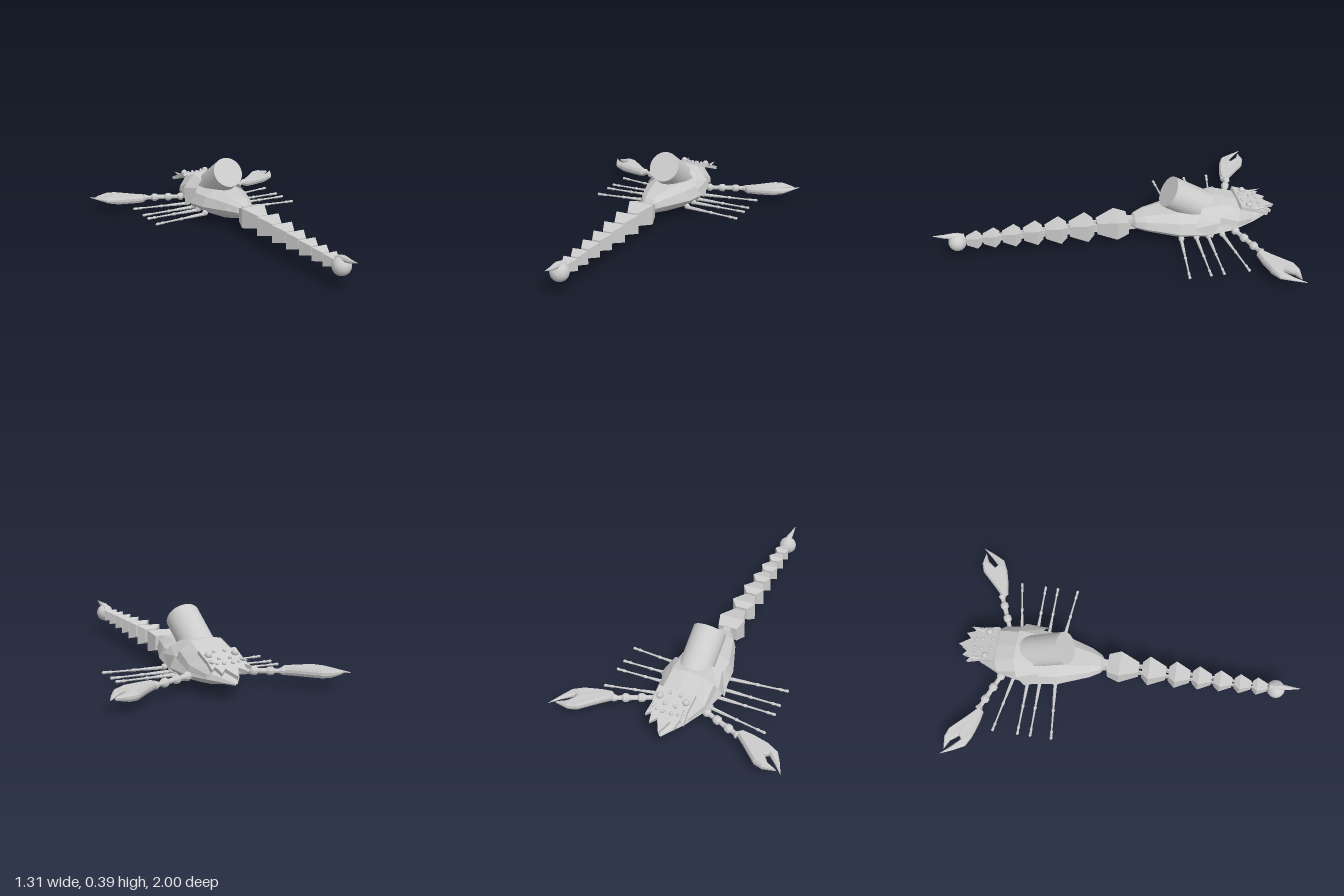
import * as THREE from 'three';

const flat = new THREE.MeshStandardMaterial({ color: 0xcccccc, flatShading: true });
const thin = new THREE.MeshStandardMaterial({ color: 0xcccccc, flatShading: true, side: THREE.DoubleSide });
const smooth = new THREE.MeshStandardMaterial({ color: 0xcccccc });

function add(parent, name, geo, mat = flat) {
  const mesh = new THREE.Mesh(geo, mat);
  mesh.name = name;
  parent.add(mesh);
  return mesh;
}

// Skin between rows of [x, y, z] points
function skin(rows) {
  const out = [];
  for (let i = 0; i < rows.length - 1; i++)
    for (let j = 0; j < rows[i].length - 1; j++) {
      const a = rows[i][j], b = rows[i][j + 1], c = rows[i + 1][j + 1], d = rows[i + 1][j];
      out.push(...a, ...b, ...c, ...a, ...c, ...d);
    }
  const geo = new THREE.BufferGeometry();
  geo.setAttribute('position', new THREE.Float32BufferAttribute(out, 3));
  geo.computeVertexNormals();
  return geo;
}

// Half an edge, given from the rim to the crown, mirrored into a full arch
const arch = half => [...half, ...half.slice(0, -1).reverse().map(([x, y, z]) => [-x, y, z])];

// Turned piece between two points; profile holds [radius, fraction along]
function turned(parent, name, profile, from, to, sides) {
  const a = new THREE.Vector3(...from), dir = new THREE.Vector3(...to).sub(a), len = dir.length();
  const geo = new THREE.LatheGeometry(profile.map(([r, t]) => new THREE.Vector2(r, t * len)), sides);
  const mesh = add(parent, name, geo);
  mesh.position.copy(a);
  mesh.quaternion.setFromUnitVectors(new THREE.Vector3(0, 1, 0), dir.normalize());
}

function ball(parent, name, r, x, y, z, detail = 12) {
  add(parent, name, new THREE.SphereGeometry(r, detail, detail * 0.75), smooth).position.set(x, y, z);
}

function makeBody(g) {
  // z, half width, keel height, side height, deck height
  const sections = [
    [-0.99, 0.004, 0.088, 0.093, 0.098], [-0.86, 0.085, 0.065, 0.095, 0.14], [-0.72, 0.14, 0.03, 0.09, 0.18],
    [-0.56, 0.172, 0.005, 0.1, 0.2], [-0.4, 0.155, 0.018, 0.11, 0.205], [-0.22, 0.09, 0.065, 0.125, 0.19],
    [-0.16, 0.055, 0.09, 0.125, 0.175], [-0.12, 0.003, 0.12, 0.123, 0.126]];
  add(g, 'body', skin(sections.map(([z, w, bot, mid, top]) => {
    const low = bot + (mid - bot) * 0.55, high = mid + (top - mid) * 0.65;
    return [[0, bot], [w * 0.75, low], [w, mid], [w * 0.85, high], [w * 0.45, top],
      [-w * 0.45, top], [-w * 0.85, high], [-w, mid], [-w * 0.75, low], [0, bot]].map(([x, y]) => [x, y, z]);
  })));
}

function makeShell(g) {
  // Arched band around the body
  add(g, 'shellBand', skin([
    arch([[0.168, 0.155, -0.48], [0.14, 0.2, -0.51], [0.09, 0.235, -0.54], [0, 0.25, -0.55]]),
    arch([[0.182, 0.085, -0.585], [0.168, 0.175, -0.63], [0.09, 0.25, -0.65], [0, 0.26, -0.65]])]), thin);
  // Sloping neck plate
  add(g, 'neckPlate', skin([
    arch([[0.15, 0.155, -0.61], [0.142, 0.2, -0.625], [0.085, 0.25, -0.64], [0, 0.258, -0.64]]),
    arch([[0.148, 0.12, -0.74], [0.142, 0.15, -0.75], [0.09, 0.205, -0.77], [0, 0.212, -0.775]]),
    arch([[0.095, 0.1, -0.84], [0.09, 0.12, -0.85], [0.06, 0.15, -0.87], [0, 0.16, -0.88]])]), thin);

  // Spiked head shield, tilted down toward its tip
  const head = new THREE.Group();
  head.name = 'headShield';
  const edge = [[0.105, 0], [0.1, 0.1], [0.108, 0.175], [0.08, 0.15], [0.068, 0.21], [0.035, 0.175], [0, 0.25]];
  const outline = [...edge, ...edge.slice(0, -1).reverse().map(([x, y]) => [-x, y])];
  const shape = new THREE.Shape(outline.map(p => new THREE.Vector2(...p)));
  add(head, 'spikedPlate', new THREE.ExtrudeGeometry(shape, { depth: 0.02, bevelEnabled: false })).rotation.x = -Math.PI / 2;
  for (const s of [-1, 1]) {
    ball(head, 'eye', 0.019, s * 0.074, 0.025, -0.055);
    for (const [x, z, r] of [[0.03, -0.025, 0.01], [0.03, -0.09, 0.011], [0.025, -0.135, 0.011], [0.06, -0.13, 0.009]])
      ball(head, 'headBump', r, s * x, 0.023, z, 8);
    // Short raised horns along the rim
    turned(head, 'horn', [[0.012, 0], [0, 1]], [s * 0.085, 0.015, -0.1], [s * 0.092, 0.05, -0.17], 5);
  }
  head.position.set(0, 0.208, -0.765);
  head.rotation.x = -0.36;
  g.add(head);
}

function makeBarrel(g) {
  const mesh = add(g, 'barrel', new THREE.CylinderGeometry(0.092, 0.092, 0.3, 40), smooth);
  const axis = new THREE.Vector3(0, 0.53, 0.85).normalize();
  mesh.quaternion.setFromUnitVectors(new THREE.Vector3(0, 1, 0), axis);
  mesh.position.set(0, 0.316, -0.36).addScaledVector(axis, -0.15);
}

function makeClaw(g) {
  // Pincer outline as x and forward distance
  const outline = [[0.345, 0.815], [0.375, 0.79], [0.44, 0.8], [0.53, 0.825], [0.59, 0.855], [0.625, 0.92], [0.656, 0.992],
    [0.605, 0.935], [0.555, 0.885], [0.535, 0.9], [0.57, 0.945], [0.625, 0.972], [0.55, 0.982], [0.5, 0.965], [0.455, 0.92], [0.4, 0.865]];
  const shape = new THREE.Shape(outline.map(p => new THREE.Vector2(...p)));
  const geo = new THREE.ExtrudeGeometry(shape, {
    depth: 0.015, bevelThickness: 0.015, bevelSize: 0.008, bevelOffset: -0.008, bevelSegments: 1 });
  geo.translate(0, 0, -0.0075);
  geo.rotateX(-Math.PI / 2);
  // Thin the fingers toward their tips
  const p = geo.attributes.position;
  for (let i = 0; i < p.count; i++)
    p.setY(i, p.getY(i) * THREE.MathUtils.clamp(1 - (p.getX(i) - 0.54) / 0.13, 0.15, 1));
  geo.computeVertexNormals();
  add(g, 'claw', geo).position.y = 0.088;
}

function makeLimbs(side) {
  // Beaded arm ending in the claw
  const bead = [[0.012, 0], [0.024, 0.04], [0.024, 0.1], [0.013, 0.16], [0.013, 0.28], [0.024, 0.34], [0.024, 0.42], [0.013, 0.47],
    [0.015, 0.62], [0.024, 0.68], [0.024, 0.75], [0.013, 0.8], [0.013, 0.88], [0.022, 0.96], [0.016, 1]];
  turned(side, 'arm', bead, [0.13, 0.09, -0.725], [0.365, 0.088, -0.825], 10);
  makeClaw(side);

  // Four thin jointed legs with ball sockets
  const leg = [[0.011, 0], [0.009, 0.3], [0.006, 0.46], [0.01, 0.5], [0.006, 0.54], [0.005, 0.82], [0.009, 0.87], [0.006, 0.9], [0.009, 0.98], [0, 1]];
  for (const [z0, z1] of [[-0.66, -0.725], [-0.575, -0.578], [-0.505, -0.503], [-0.415, -0.38]]) {
    turned(side, 'leg', leg, [0.12, 0.06, z0], [0.475, 0.057, z1], 6);
    ball(side, 'legSocket', 0.018, 0.132, 0.065, z0, 10);
  }
}

function makeTail(g) {
  // start z, widest z, end z, half width, half height
  const segments = [[-0.12, -0.05, 0.06, 0.075, 0.06], [0.08, 0.12, 0.22, 0.07, 0.056], [0.235, 0.275, 0.36, 0.064, 0.052],
    [0.375, 0.41, 0.485, 0.056, 0.047], [0.5, 0.535, 0.605, 0.051, 0.042], [0.62, 0.65, 0.715, 0.046, 0.038], [0.725, 0.75, 0.81, 0.042, 0.034]];
  const cy = 0.125;
  segments.forEach(([z0, zw, z1, w, h], i) => {
    const ring = (z, a, b) => [[-1, -1], [1, -1], [1, 1], [-1, 1], [-1, -1]].map(([x, y]) => [x * a, cy + y * b, z]);
    const back = i ? 0.5 : 0.75;
    add(g, 'tailSegment', skin([ring(z0, 0, 0), ring(z0, w * back, h * 0.68), ring(zw, w, h),
      ring(z1, w * 0.42, h * 0.62), ring(z1, 0, 0)]));
    // Paired hinge bars to the part in front
    for (const s of [-1, 1])
      add(g, 'tailHinge', new THREE.BoxGeometry(w * 0.14, h * 0.9, 0.06)).position.set(s * w * 0.27, cy, z0 - 0.005);
  });
  add(g, 'tailRoot', new THREE.BoxGeometry(0.04, 0.075, 0.1)).position.set(0, cy, -0.14);

  // Bulb and curved stinger
  ball(g, 'tailBulb', 0.052, 0, 0.123, 0.86, 32);
  const sting = [[0.82, 0.15, 0.022], [0.87, 0.165, 0.02], [0.93, 0.17, 0.012], [0.998, 0.182, 0.0005]];
  add(g, 'stinger', skin(sting.map(([z, y, r]) => Array.from({ length: 9 }, (_, k) => {
    const t = k / 8 * Math.PI * 2;
    return [Math.cos(t) * r, y + Math.sin(t) * r, z];
  }))));
}

export function createModel() {
  const model = new THREE.Group();
  model.name = 'scorpion';
  makeBody(model);
  makeShell(model);
  makeBarrel(model);
  for (const s of [1, -1]) {
    const side = new THREE.Group();
    side.name = s > 0 ? 'leftLimbs' : 'rightLimbs';
    side.scale.x = s;
    makeLimbs(side);
    model.add(side);
  }
  makeTail(model);
  return model;
}
